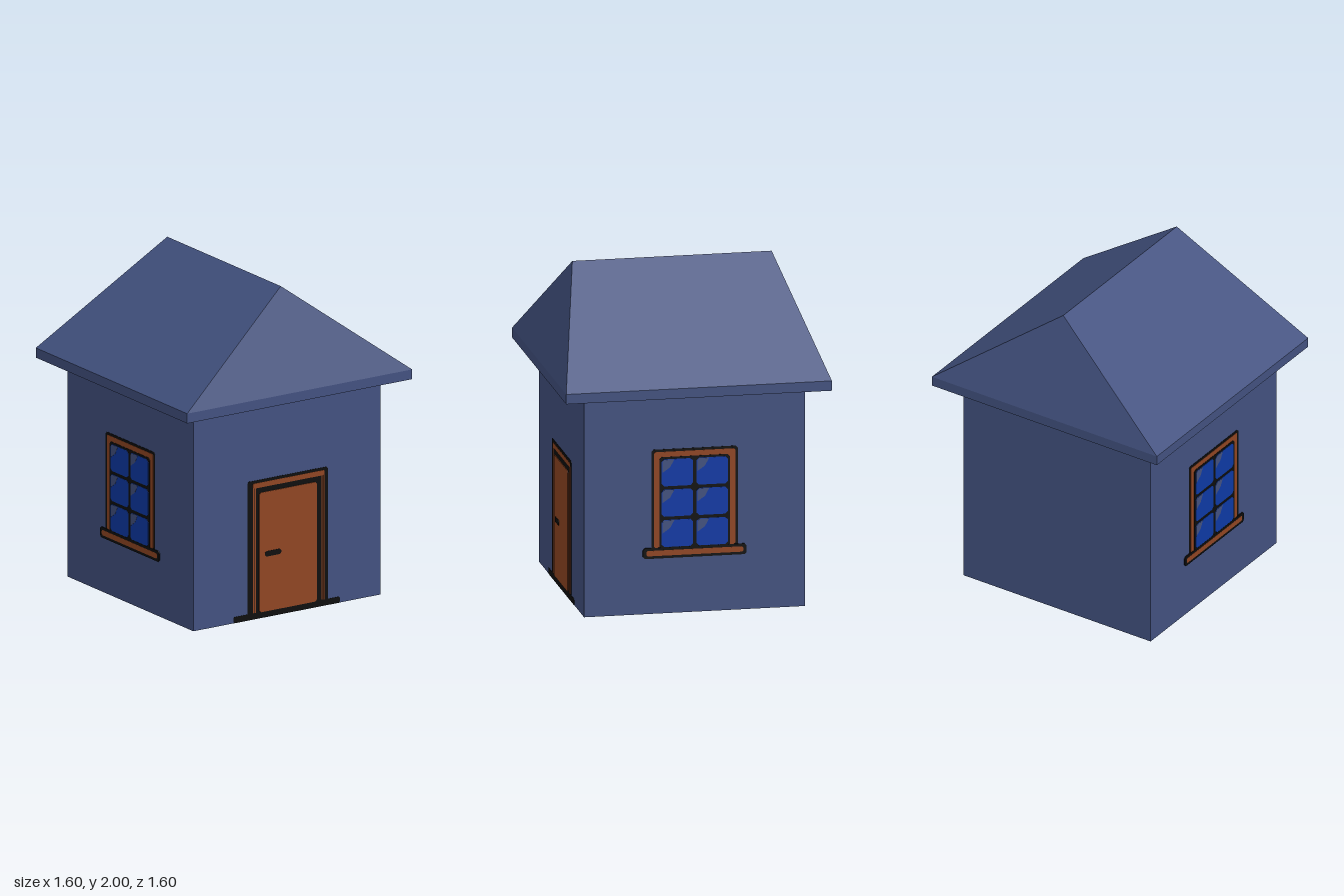
import * as THREE from 'three';

const paint = (name, color) => {
  const m = new THREE.MeshStandardMaterial({ color });
  m.name = name;
  return m;
};

export function createModel() {
  const slate = paint('slateBlue', 0x42517f);
  const soffit = paint('soffitBlue', 0x0538a4);
  const wood = paint('wood', 0x8f4522);
  const black = paint('outline', 0x0d0d0d);
  const glass = paint('glass', 0x0d39a4);

  const house = new THREE.Group();
  house.name = 'house';
  const WALL = 0.665, EAVE = 0.8, STEP = 0.002;

  const add = (parent, name, geometry, material) => {
    const mesh = new THREE.Mesh(geometry, material);
    mesh.name = name;
    parent.add(mesh);
    return mesh;
  };

  // Thin plate standing on the wall plane; higher layers cover lower ones
  const plate = (parent, name, points, material, layer) => {
    const shape = new THREE.Shape(points.map(([x, y]) => new THREE.Vector2(x, y)));
    const geometry = new THREE.ExtrudeGeometry(shape, { depth: STEP * layer, bevelEnabled: false });
    return add(parent, name, geometry, material);
  };

  // Rectangle with cut corners
  const rect = (x0, x1, y0, y1, c = 0.006) => [
    [x0 + c, y0], [x1 - c, y0], [x1, y0 + c], [x1, y1 - c],
    [x1 - c, y1], [x0 + c, y1], [x0, y1 - c], [x0, y0 + c],
  ];

  // Walls
  add(house, 'walls', new THREE.BoxGeometry(2 * WALL, 1.34, 2 * WALL), slate).position.y = 0.67;

  // Eave slab with a coloured underside
  add(house, 'eaves', new THREE.BoxGeometry(2 * EAVE, 0.06, 2 * EAVE),
    [slate, slate, slate, soffit, slate, slate]).position.y = 1.37;

  // Hipped roof: one long slope and one end, turned half way round for the others
  const positions = [];
  for (const s of [1, -1]) {
    const a = [s * EAVE, 1.4, s * EAVE], b = [s * EAVE, 1.4, -s * EAVE];
    const c = [0, 2, -s * 0.6], d = [0, 2, s * 0.6], e = [-s * EAVE, 1.4, s * EAVE];
    positions.push(...a, ...b, ...c, ...a, ...c, ...d, ...e, ...a, ...d);
  }
  const roof = new THREE.BufferGeometry();
  roof.setAttribute('position', new THREE.Float32BufferAttribute(positions, 3));
  roof.computeVertexNormals();
  add(house, 'roof', roof, slate);

  // Door
  const door = new THREE.Group();
  door.name = 'door';
  door.position.z = WALL;
  house.add(door);
  plate(door, 'doorOutline', rect(-0.28, 0.29, 0, 0.855, 0.01), black, 1);
  plate(door, 'threshold', rect(-0.38, 0.375, 0, 0.038), black, 1);
  plate(door, 'lintel', rect(-0.245, 0.265, 0.807, 0.838), wood, 2);
  for (const [x, w] of [[-0.243, 0.009], [-0.229, 0.007], [0.245, 0.007], [0.257, 0.009]]) {
    plate(door, 'doorJamb', rect(x, x + w, 0.04, 0.82, 0.001), wood, 2);
  }
  plate(door, 'doorPanel', rect(-0.2, 0.21, 0.037, 0.775, 0.012), wood, 3);
  plate(door, 'doorHandle', rect(-0.16, -0.045, 0.375, 0.408, 0.01), black, 4);

  // Windows on both sides
  const makeWindow = (name) => {
    const w = new THREE.Group();
    w.name = name;
    plate(w, 'frameOutline', rect(-0.26, 0.26, 0.37, 1, 0.012), black, 1);
    plate(w, 'frame', rect(-0.245, 0.245, 0.402, 0.985, 0.008), wood, 2);
    plate(w, 'glazingBars', rect(-0.211, 0.211, 0.39, 0.953, 0.012), black, 3);
    for (const x of [-0.199, 0.011]) {
      for (const y of [0.405, 0.59, 0.775]) {
        const top = y + 0.165;
        plate(w, 'pane', rect(x, x + 0.188, y, top, 0.015), glass, 4);
        plate(w, 'glint', [[x + 0.004, top - 0.082], [x + 0.05, top - 0.05],
          [x + 0.076, top - 0.003], [x + 0.015, top - 0.003], [x + 0.004, top - 0.015]], slate, 4.5);
      }
    }
    plate(w, 'sillOutline', rect(-0.312, 0.312, 0.337, 0.402, 0.012), black, 3.5);
    plate(w, 'sill', rect(-0.292, 0.292, 0.353, 0.386, 0.008), wood, 4);
    house.add(w);
    return w;
  };
  for (const [name, s] of [['leftWindow', 1], ['rightWindow', -1]]) {
    const w = makeWindow(name);
    w.position.x = s * WALL;
    w.rotation.y = s * Math.PI / 2;
  }

  return house;
}
